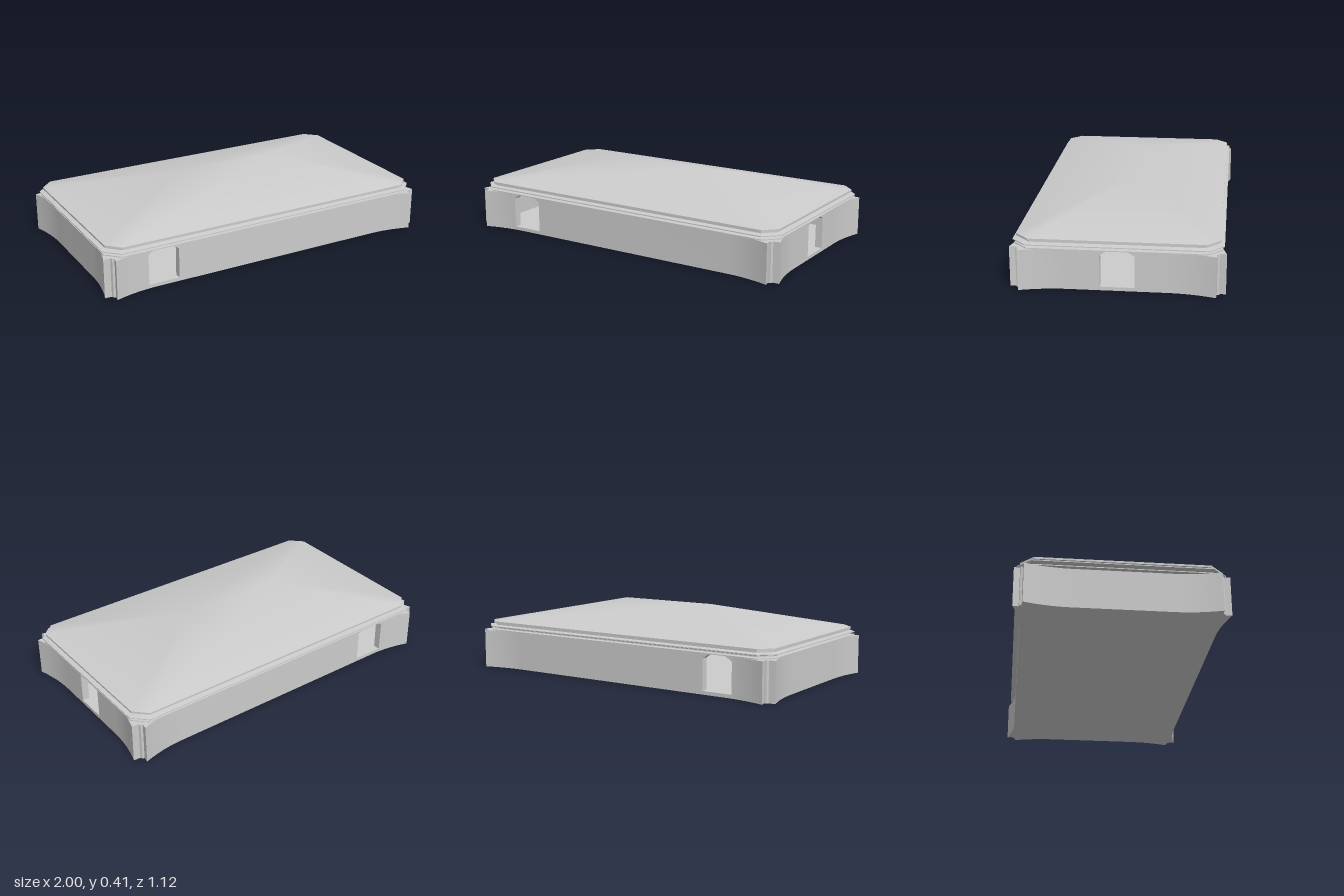
import * as THREE from 'three';
import { mergeVertices, toCreasedNormals } from 'three/addons/utils/BufferGeometryUtils.js';

const material = new THREE.MeshStandardMaterial({ color: 0xcccccc, side: THREE.DoubleSide });
const WALL_TOP = 0.222, FLOOR = 0.02, THICK = 0.04, DOOR = 0.09;

function part(name, geometry, parent) {
  const mesh = new THREE.Mesh(geometry, material);
  mesh.name = name;
  parent.add(mesh);
  return mesh;
}

// Extrudes a floor-plan outline of [x, z] points upward from y0 to y1.
function planExtrude(points, y0, y1) {
  const shape = new THREE.Shape(points.map(([x, z]) => new THREE.Vector2(x, -z)));
  const geo = new THREE.ExtrudeGeometry(shape, { depth: y1 - y0, bevelEnabled: false });
  geo.rotateX(-Math.PI / 2).translate(0, y0, 0);
  return toCreasedNormals(geo, 0.5);
}

// The outer wall face sweeps outward near its ends.
const flare = (s, half) => 0.04 * Math.max(0, (Math.abs(s) - half + 0.25) / 0.25) ** 2;

// Outer face of one wall, as [position along wall, distance from centre].
function wallFace(from, to, half, dist) {
  const pts = [];
  const stops = [from, to];
  for (let i = 0; i <= 10; i++) {
    const s = half - 0.25 + 0.025 * i;
    stops.push(s, -s);
  }
  stops.filter(s => s >= from && s <= to).sort((a, b) => a - b)
    .forEach(s => { if (!pts.length || s - pts.at(-1)[0] > 1e-4) pts.push([s, dist + flare(s, half)]); });
  return pts;
}

function wall(name, half, dist, angle, door) {
  const group = new THREE.Group();
  group.name = name;
  group.rotation.y = angle;
  const spans = door === undefined ? [[-half, half]] : [[-half, door - DOOR], [door + DOOR, half]];
  for (const [a, b] of spans) {
    const inset = s => Math.sign(s) * Math.min(Math.abs(s), half - 0.02);
    const outline = [...wallFace(a, b, half, dist), [inset(b), dist - THICK], [inset(a), dist - THICK]];
    part('wallPanel', planExtrude(outline, FLOOR, WALL_TOP), group);
  }
  if (door !== undefined) {
    // Arched head over the doorway
    const lintel = new THREE.Shape();
    lintel.moveTo(-DOOR, 0.193);
    lintel.quadraticCurveTo(-0.068, 0.21, -0.045, 0.22);
    lintel.lineTo(0.045, 0.22);
    lintel.quadraticCurveTo(0.068, 0.21, DOOR, 0.193);
    lintel.lineTo(DOOR, WALL_TOP + 0.006);
    lintel.lineTo(-DOOR, WALL_TOP + 0.006);
    const geo = new THREE.ExtrudeGeometry(lintel, { depth: THICK, bevelEnabled: false, curveSegments: 4 });
    geo.translate(door, 0, dist - THICK);
    part('doorHead', geo, group);
  }
  return group;
}

// Horizontal eight-sided loop with cut corners, counter-clockwise from above.
function octagon(offset, y) {
  const x = 0.97 + offset, z = 0.53 + offset, c = 0.07 + offset * 0.4;
  return [[x, z - c], [x, c - z], [x - c, -z], [c - x, -z], [-x, c - z], [-x, z - c], [c - x, z], [x - c, z]]
    .map(([px, pz]) => [px, y, pz]);
}

// Skins a stack of closed loops.
function loft(rings) {
  const n = rings[0].length, index = [];
  for (let r = 0; r < rings.length - 1; r++) {
    for (let i = 0; i < n; i++) {
      const a = r * n + i, b = r * n + (i + 1) % n;
      index.push(a, b, b + n, a, b + n, a + n);
    }
  }
  const geo = new THREE.BufferGeometry();
  geo.setAttribute('position', new THREE.Float32BufferAttribute(rings.flat(2), 3));
  geo.setIndex(index);
  return geo;
}

export function createModel() {
  const model = new THREE.Group();
  model.name = 'pavilion';

  // Floor slab following the flared walls and notched corners
  const notch = [[0.945, 0.528], [0.957, 0.526], [0.962, 0.513]];
  const quarter = [
    ...wallFace(0, 0.95, 0.95, 0.52),
    ...notch,
    ...wallFace(0, 0.51, 0.51, 0.96).reverse().map(([s, d]) => [d, s]),
  ];
  const flip = (sx, sz) => quarter.map(([x, z]) => [x * sx, z * sz]);
  const outline = [...flip(1, 1), ...flip(1, -1).reverse(), ...flip(-1, -1), ...flip(-1, 1).reverse()]
    .filter((p, i, all) => i === 0 || Math.hypot(p[0] - all[i - 1][0], p[1] - all[i - 1][1]) > 1e-4);
  outline.pop();
  part('floorSlab', planExtrude(outline, 0, FLOOR), model);

  // Walls, three of them with a doorway
  model.add(wall('frontWall', 0.95, 0.52, 0, -0.66));
  model.add(wall('backWall', 0.95, 0.52, Math.PI, 0.66));
  model.add(wall('leftWall', 0.51, 0.96, Math.PI / 2, 0));
  model.add(wall('rightWall', 0.51, 0.96, -Math.PI / 2));

  // Notched corner posts
  for (const sx of [1, -1]) for (const sz of [1, -1]) {
    const post = [[0.91, 0.47], [0.91, 0.53], [0.95, 0.56], ...notch, [1.0, 0.51], [0.97, 0.47]];
    part('cornerPost', planExtrude(post.map(([x, z]) => [x * sx, z * sz]), FLOOR, WALL_TOP), model);
  }

  // Moulded cornice: [outward offset, height]
  const profile = [[-0.09, 0.224], [0.01, 0.224], [0.01, 0.229], [-0.02, 0.231], [-0.02, 0.238], [0.005, 0.241],
    [0.018, 0.245], [0.018, 0.25], [-0.012, 0.255], [-0.012, 0.263], [0, 0.265], [0, 0.276]];
  part('cornice', toCreasedNormals(loft(profile.map(([o, y]) => octagon(o, y))), 0.5), model);

  // Hipped roof rising to a ridge
  const ridge = octagon(0, 0.41).map(([x, y]) => [Math.sign(x) * 0.3, y, 0]);
  const roof = mergeVertices(loft([octagon(0, 0.276), ridge]));
  roof.computeVertexNormals();
  part('roof', roof, model);

  // Inner end wall: rail and sloping cove
  const rail = new THREE.BoxGeometry(0.02, 0.015, 0.94);
  part('innerRail', rail.translate(-0.915, 0.1225, 0), model);
  const cove = new THREE.Shape([[-0.925, 0.16], [-0.905, 0.16], [-0.77, 0.224], [-0.925, 0.224]]
    .map(([x, y]) => new THREE.Vector2(x, y)));
  const coveGeo = new THREE.ExtrudeGeometry(cove, { depth: 0.95, bevelEnabled: false });
  part('innerCove', coveGeo.translate(0, 0, -0.475), model);

  return model;
}
